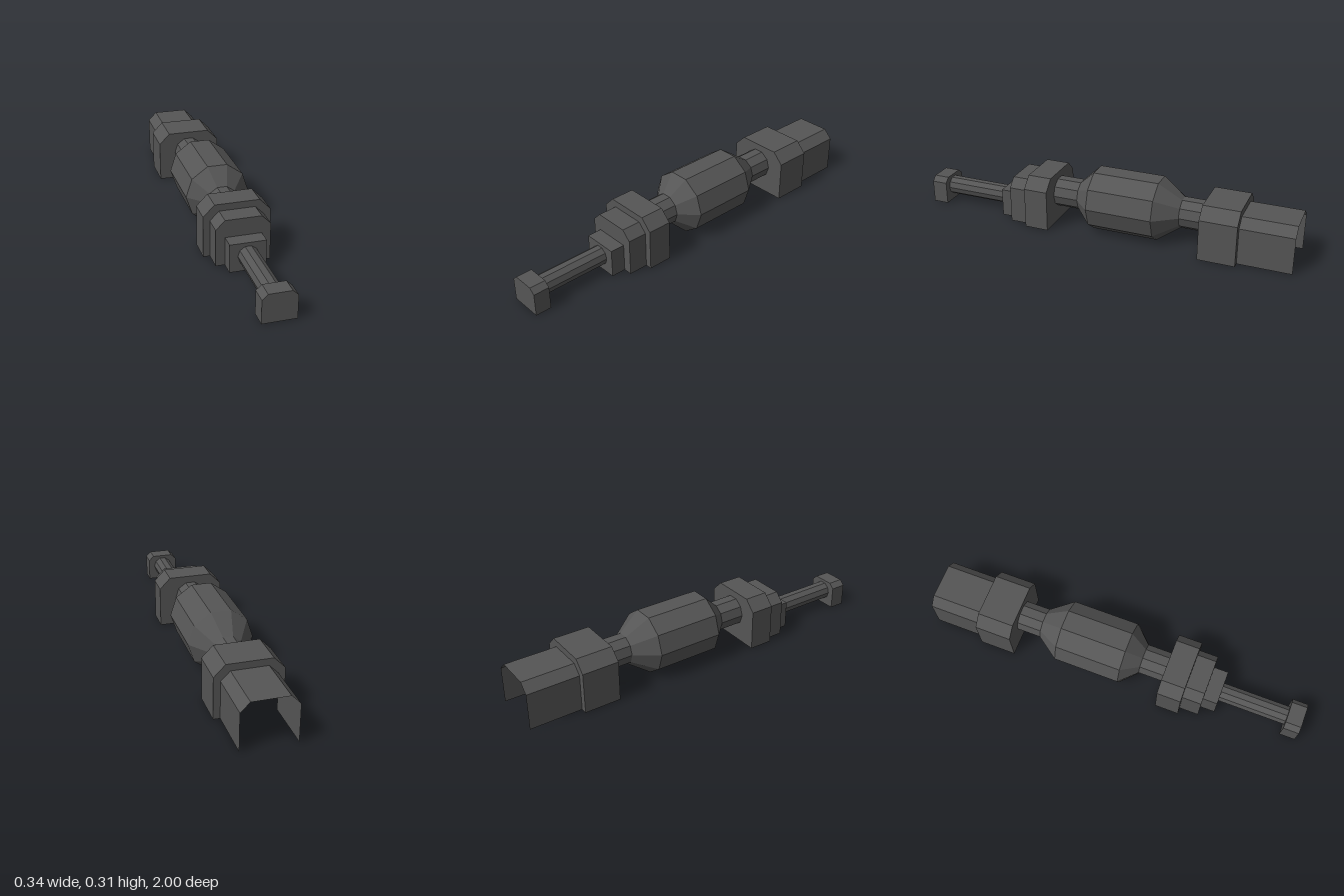
import * as THREE from 'three';
import { mergeGeometries } from 'three/addons/utils/BufferGeometryUtils.js';

// Arch outline: half width, side height, half top width, top height
const arch = (w, s, t, h) => [[-w, 0], [-w, s], [-t, h], [t, h], [w, s], [w, 0]];
const LARGE = arch(0.168, 0.213, 0.112, 0.27);
const MEDIUM = arch(0.135, 0.19, 0.09, 0.235);
const SMALL = [[-0.09, 0], [-0.09, 0.146], [0.09, 0.146], [0.09, 0]];
const FOOT = arch(0.082, 0.118, 0.055, 0.143);

// Side and roof panels of an arch, open underneath
function panels(outline, back, front) {
  const pos = [];
  for (let i = 0; i < outline.length - 1; i++) {
    const a = outline[i], b = outline[i + 1];
    const a0 = [...a, back], a1 = [...a, front], b0 = [...b, back], b1 = [...b, front];
    pos.push(...a0, ...a1, ...b1, ...a0, ...b1, ...b0);
  }
  const g = new THREE.BufferGeometry();
  g.setAttribute('position', new THREE.Float32BufferAttribute(pos, 3));
  g.computeVertexNormals();
  return g;
}

// End wall; an inner outline leaves an archway in it
function endWall(outline, z, facesFront, inner = []) {
  const pts = [...outline, ...[...inner].reverse()].map(([x, y]) => new THREE.Vector2(x, y));
  const g = new THREE.ShapeGeometry(new THREE.Shape(pts)).toNonIndexed();
  g.deleteAttribute('uv');
  if (!facesFront) g.rotateY(Math.PI);
  return g.translate(0, 0, z);
}

export function createModel() {
  const model = new THREE.Group();
  model.name = 'shaftAssembly';
  const darkGrey = new THREE.MeshStandardMaterial({ color: 0x555555, flatShading: true, side: THREE.DoubleSide });
  darkGrey.name = 'darkGrey';

  const add = (name, geometry) => {
    const mesh = new THREE.Mesh(geometry, darkGrey);
    mesh.name = name;
    model.add(mesh);
  };

  // Ten-sided part turned about the z axis, from [radius, z] points
  const turned = (name, y, points) => {
    const profile = points.map(([r, z]) => new THREE.Vector2(r, z));
    const g = new THREE.LatheGeometry(profile, 10, Math.PI / 10);
    add(name, g.rotateX(Math.PI / 2).translate(0, y, 0));
  };

  // Rear hood, open at the back and underneath
  add('rearHood', panels(MEDIUM, -1, -0.73));
  add('rearCollar', mergeGeometries([
    panels(LARGE, -0.73, -0.54),
    endWall(LARGE, -0.54, true),
    endWall(LARGE, -0.73, false, MEDIUM),
  ]));

  // Stepped front housing
  add('frontCollar', mergeGeometries([
    panels(LARGE, 0.265, 0.39),
    endWall(LARGE, 0.265, false),
    endWall(LARGE, 0.39, true),
  ]));
  add('frontStep', mergeGeometries([panels(MEDIUM, 0.39, 0.49), endWall(MEDIUM, 0.49, true)]));
  add('frontNose', mergeGeometries([panels(SMALL, 0.49, 0.565), endWall(SMALL, 0.565, true)]));

  // End foot
  add('endFoot', mergeGeometries([
    panels(FOOT, 0.918, 1),
    endWall(FOOT, 0.918, false),
    endWall(FOOT, 1, true),
  ]));

  // Shafts and the swollen drum between the collars
  turned('rearShaft', 0.157, [[0.08, -0.54], [0.08, -0.413]]);
  turned('drum', 0.157, [[0.08, -0.413], [0.165, -0.295], [0.165, 0.05], [0.08, 0.135]]);
  turned('middleShaft', 0.157, [[0.08, 0.135], [0.08, 0.265]]);
  turned('frontRod', 0.08, [[0.05, 0.565], [0.05, 0.918]]);

  return model;
}
